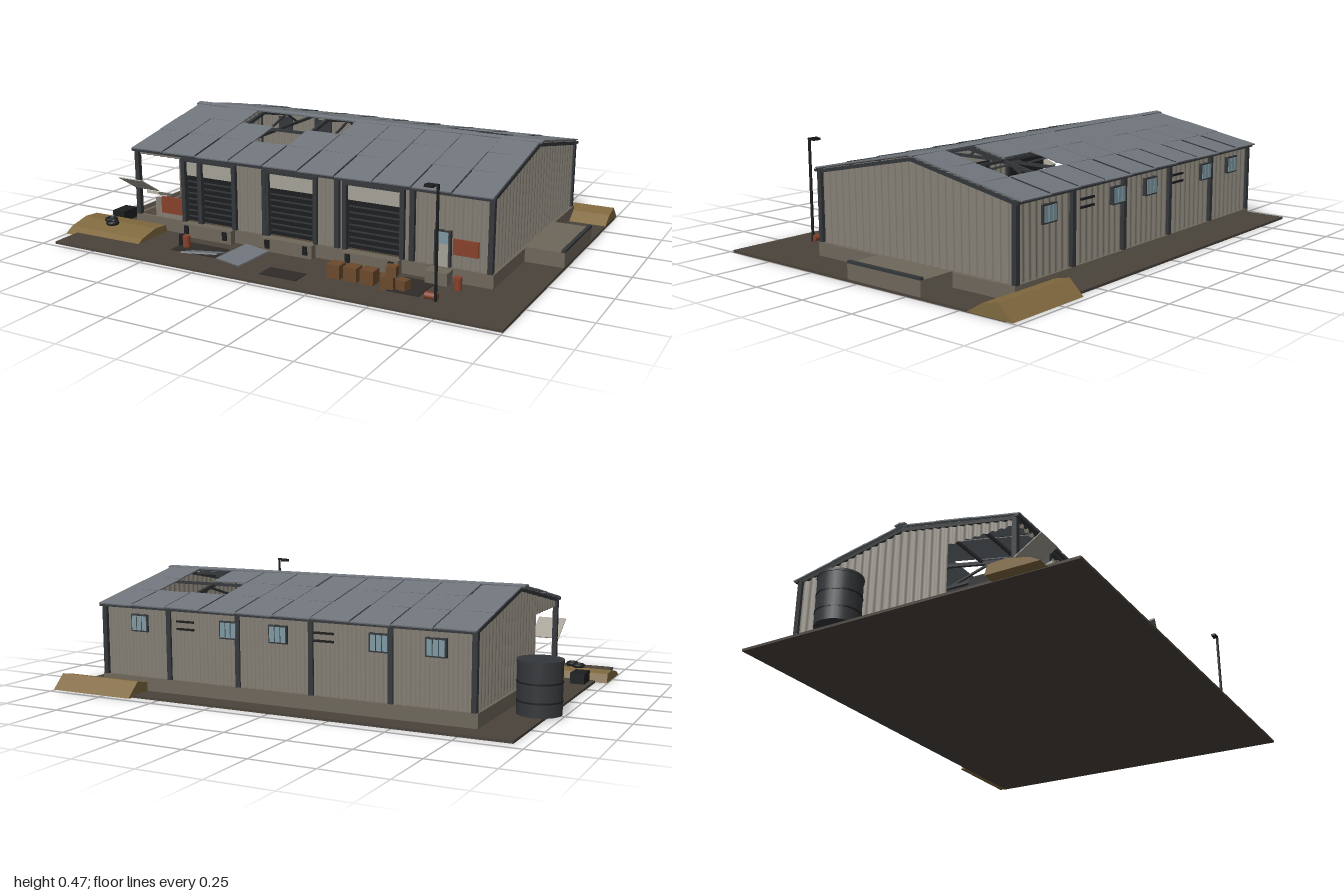
import * as THREE from 'three';

const mat = (color, side = THREE.FrontSide) => new THREE.MeshStandardMaterial({ color, side });
const M = {
  ground: mat(0x4a433b), concrete: mat(0x6e675b), wall: mat(0x858076, THREE.DoubleSide), roof: mat(0x6f757b),
  steel: mat(0x34373a), dark: mat(0x1c1d1f), pale: mat(0xa5a196), sand: mat(0x80693f), rust: mat(0x87402a),
  wood: mat(0x6b4a2c), glass: mat(0x7f99a3), patch: mat(0x2f2b28), floor: mat(0x51463a),
};
const RIDGE = -0.11, SLOPE = 0.2;
const roofY = z => 0.46 - SLOPE * Math.abs(z - RIDGE);

export function createModel() {
  const root = new THREE.Group();

  const add = (name, geo, m, parent = root) => {
    const mesh = new THREE.Mesh(geo, m);
    mesh.name = name;
    parent.add(mesh);
    return mesh;
  };
  // Box given by its lower and upper limits
  const box = (name, x0, x1, y0, y1, z0, z1, m, parent) => {
    const b = add(name, new THREE.BoxGeometry(x1 - x0, y1 - y0, z1 - z0), m, parent);
    b.position.set((x0 + x1) / 2, (y0 + y1) / 2, (z0 + z1) / 2);
    return b;
  };
  const cyl = (name, x, y0, z, r, h, m, seg = 16) => {
    const c = add(name, new THREE.CylinderGeometry(r, r, h, seg), m);
    c.position.set(x, y0 + h / 2, z);
    return c;
  };
  const beam = (name, a, b, t, m, parent) => {
    const A = new THREE.Vector3(...a), B = new THREE.Vector3(...b);
    const s = add(name, new THREE.BoxGeometry(t, t, A.distanceTo(B)), m, parent);
    s.position.copy(A).lerp(B, 0.5);
    s.lookAt(B);
    return s;
  };
  // Corrugated sheet from a to b; its upper edge follows top(u)
  const sheet = (name, a, b, y0, top, place) => {
    const n = Math.max(4, Math.round((b - a) / 0.036) * 6);
    const g = new THREE.PlaneGeometry(b - a, 1, n, 1), p = g.attributes.position;
    for (let i = 0; i < p.count; i++) {
      const u = p.getX(i) + (a + b) / 2, y = p.getY(i) > 0 ? top(u) : y0;
      const d = 0.005 * Math.cos(u * Math.PI * 2 / 0.036);
      p.setXYZ(i, ...place(u, y, d));
    }
    g.computeVertexNormals();
    return add(name, g, M.wall);
  };

  // Site, plinth, floor and docks
  box('ground', -0.95, 1, 0, 0.01, -0.7, 0.73, M.ground);
  box('plinth', -0.79, 0.84, 0.01, 0.065, -0.605, 0.395, M.concrete);
  box('floor', -0.77, 0.82, 0.065, 0.068, -0.59, 0.38, M.floor);
  box('sideDock', 0.84, 1, 0.01, 0.07, -0.32, 0.05, M.concrete);
  box('dockEdge', 0.985, 1, 0.07, 0.08, -0.32, 0.05, M.steel);

  // Corrugated walls
  const eave = () => 0.352, front = (u, y, d) => [u, y, 0.385 + d], back = (u, y, d) => [u, y, -0.595 - d];
  const doors = [[-0.535, -0.285], [-0.14, 0.095], [0.225, 0.47]];
  let from = -0.54;
  for (const [a, b] of doors) {
    if (a - from > 0.02) sheet('frontWall', from, a, 0.065, eave, front);
    sheet('doorHeader', a, b, 0.33, eave, front);
    from = b;
  }
  sheet('frontWall', from, 0.83, 0.065, eave, front);
  sheet('openBayHeader', -0.78, -0.54, 0.33, eave, front);
  sheet('brokenFrontWall', -0.69, -0.54, 0.065, () => 0.15, front);
  sheet('backWall', -0.78, 0.83, 0.065, eave, back);
  sheet('rightWall', -0.595, 0.385, 0.065, z => roofY(z) - 0.005, (u, y, d) => [0.825 + d, y, u]);
  const left = (u, y, d) => [-0.775 - d, y, u];
  sheet('leftWall', -0.595, 0.1, 0.065, z => roofY(z) - 0.005, left);
  sheet('leftGable', 0.1, 0.385, 0.32, z => roofY(z) - 0.005, left);

  // Loading doors with pale top panel, ribbed shutter, frame and dock
  for (const [a, b] of doors) {
    const door = new THREE.Group();
    door.name = 'loadingDoor';
    root.add(door);
    box('doorTop', a, b, 0.265, 0.33, 0.37, 0.382, M.pale, door);
    box('shutter', a, b, 0.065, 0.265, 0.362, 0.372, M.dark, door);
    for (let y = 0.085; y < 0.26; y += 0.025) box('shutterRib', a, b, y, y + 0.006, 0.372, 0.376, M.steel, door);
    for (const x of [a, b]) box('doorJamb', x - 0.009, x + 0.009, 0.065, 0.335, 0.37, 0.4, M.steel, door);
    box('doorLintel', a - 0.009, b + 0.009, 0.328, 0.34, 0.37, 0.4, M.steel, door);
    box('dock', a, b, 0.01, 0.066, 0.39, 0.425, M.concrete, door);
    for (const x of [a + 0.03, b - 0.03]) box('bumper', x - 0.01, x + 0.01, 0.025, 0.06, 0.425, 0.432, M.dark, door);
  }

  // Steel frames: columns, rafters, tie and web members
  for (const x of [-0.775, -0.455, -0.13, 0.19, 0.51, 0.825]) {
    const frame = new THREE.Group();
    frame.name = 'steelFrame';
    root.add(frame);
    for (const z of [-0.597, 0.387]) {
      box('column', x - 0.01, x + 0.01, 0.065, 0.355, z - 0.01, z + 0.01, M.steel, frame);
      beam('rafter', [x, roofY(z) - 0.014, z], [x, 0.445, RIDGE], 0.014, M.steel, frame);
    }
    if (x < -0.7 || x > 0.8) continue;
    beam('tie', [x, 0.345, -0.59], [x, 0.345, 0.38], 0.012, M.steel, frame);
    for (const s of [-1, 1]) {
      beam('web', [x, 0.345, RIDGE], [x, roofY(RIDGE + s * 0.2) - 0.015, RIDGE + s * 0.2], 0.008, M.steel, frame);
      beam('web', [x, 0.345, RIDGE + s * 0.3], [x, roofY(RIDGE + s * 0.2) - 0.015, RIDGE + s * 0.2], 0.008, M.steel, frame);
    }
  }
  for (const z of [-0.6, -0.44, -0.28, 0.05, 0.21, 0.38])
    box('purlin', -0.78, 0.83, roofY(z) - 0.016, roofY(z) - 0.005, z - 0.006, z + 0.006, M.steel);

  // Roof sheets in three rows on each slope, some missing
  const missing = ['f02', 'f03', 'f04', 'f13', 'b17', 'b18', 'b08'];
  const rows = { f: [RIDGE, 0.05, 0.21, 0.41], b: [RIDGE, -0.28, -0.44, -0.63] };
  const step = 0.1625, angle = Math.atan(SLOPE);
  for (const side of ['f', 'b']) for (let r = 0; r < 3; r++) for (let c = 0; c < 10; c++) {
    if (missing.includes(side + r + c)) continue;
    const z0 = rows[side][r], z1 = rows[side][r + 1], z = (z0 + z1) / 2;
    const len = Math.abs(z1 - z0) / Math.cos(angle);
    const p = add('roofSheet', new THREE.BoxGeometry(step - 0.004, 0.005, len), M.roof);
    p.position.set(-0.79 + step * (c + 0.5), roofY(z) + ((c * 7 + r * 3) % 4) * 0.0008, z);
    p.rotation.x = side === 'f' ? angle : -angle;
    p.rotation.z = (((c * 5 + r * 2) % 5) - 2) * 0.006;
  }
  for (let c = 1; c < 10; c++) for (const [z0, z1] of [[0.22, 0.4], [-0.45, -0.62]])
    beam('roofSeam', [-0.79 + c * step, roofY(z0) + 0.003, z0], [-0.79 + c * step, roofY(z1) + 0.003, z1], 0.005, M.steel);
  for (const s of [-1, 1]) {
    const cap = add('ridgeCap', new THREE.BoxGeometry(1.645, 0.006, 0.026), M.roof);
    cap.position.set(0.022, 0.461, RIDGE + s * 0.011);
    cap.rotation.x = s * angle;
  }
  for (const z of [-0.61, 0.4]) box('gutter', -0.79, 0.84, 0.345, 0.355, z - 0.008, z + 0.008, M.steel);

  // High windows and vents at the back
  for (const x of [0.65, 0.23, 0.01, -0.41, -0.63]) {
    box('windowFrame', x - 0.04, x + 0.04, 0.25, 0.32, -0.607, -0.59, M.steel);
    for (const i of [-1, 0, 1]) box('windowPane', x + i * 0.024 - 0.01, x + i * 0.024 + 0.01, 0.256, 0.314, -0.61, -0.6, M.glass);
  }
  for (const x of [0.43, -0.185]) for (const y of [0.27, 0.3]) box('vent', x - 0.04, x + 0.04, y, y + 0.008, -0.608, -0.6, M.dark);

  // Staff door, step, plain signs
  box('staffDoorFrame', 0.602, 0.668, 0.065, 0.206, 0.38, 0.396, M.steel);
  box('staffDoor', 0.61, 0.66, 0.066, 0.155, 0.39, 0.4, M.pale);
  box('staffDoorWindow', 0.61, 0.66, 0.155, 0.2, 0.39, 0.4, M.glass);
  box('doorStep', 0.59, 0.68, 0.01, 0.06, 0.395, 0.45, M.concrete);
  box('sign', 0.68, 0.78, 0.12, 0.18, 0.39, 0.4, M.rust);
  box('sign', -0.65, -0.54, 0.09, 0.16, 0.39, 0.4, M.rust);

  // Torn sheets hanging out of the open bay
  const torn = (x, w, y0, z1, y1, t, m) => {
    const s = add('tornSheet', new THREE.BoxGeometry(w, t, Math.hypot(z1 - 0.39, y1 - y0)), m);
    s.position.set(x, (y0 + y1) / 2, (0.39 + z1) / 2);
    s.rotation.x = -Math.atan2(y1 - y0, z1 - 0.39);
  };
  torn(-0.73, 0.12, 0.18, 0.5, 0.25, 0.004, M.pale);
  torn(-0.635, 0.06, 0.17, 0.475, 0.2, 0.012, M.pale);

  // Water tank
  cyl('tank', -0.912, 0.01, -0.28, 0.085, 0.2, M.steel, 28);
  cyl('tankLid', -0.912, 0.205, -0.28, 0.088, 0.01, M.steel, 28);
  for (const y of [0.06, 0.13]) cyl('tankBand', -0.912, y, -0.28, 0.087, 0.006, M.dark, 28);

  // Sand mounds, extruded along x from a z-y profile
  const mound = (x0, x1, pts) => {
    const g = new THREE.ExtrudeGeometry(new THREE.Shape(pts.map(([z, y]) => new THREE.Vector2(-z, y))), { depth: x1 - x0, bevelEnabled: false });
    g.rotateY(Math.PI / 2);
    add('mound', g, M.sand).position.x = x0;
  };
  mound(0.62, 1, [[-0.73, 0.002], [-0.67, 0.06], [-0.6, 0.045], [-0.53, 0.002]]);
  mound(-1, -0.625, [[0.61, 0.002], [0.57, 0.025], [0.48, 0.045], [0.41, 0.04], [0.4, 0.002]]);

  // Tyres and side box
  for (const [x, z] of [[-0.855, 0.485], [-0.82, 0.52]]) {
    const t = add('tyre', new THREE.TorusGeometry(0.019, 0.009, 8, 18), M.dark);
    t.position.set(x, 0.052, z);
    t.rotation.x = Math.PI / 2;
  }
  box('sideBox', -0.93, -0.87, 0.01, 0.055, 0.295, 0.385, M.dark);

  // Yard lamp
  cyl('lampPost', 0.7, 0.01, 0.6, 0.006, 0.43, M.dark, 8);
  box('lampArm', 0.66, 0.705, 0.434, 0.442, 0.596, 0.604, M.dark);
  box('lampHead', 0.65, 0.685, 0.428, 0.438, 0.59, 0.61, M.dark);

  // Crates
  const crate = (x, y, z, s, turn = 0) => {
    const c = add('crate', new THREE.BoxGeometry(s, s, s), M.wood);
    c.position.set(x, y + s / 2, z);
    c.rotation.y = turn;
  };
  for (const x of [0.27, 0.34, 0.41]) crate(x, 0.01, 0.545, 0.055);
  crate(0.49, 0.01, 0.56, 0.05, 0.3);
  crate(0.51, 0.06, 0.56, 0.04, 0.15);
  crate(0.55, 0.01, 0.55, 0.04, -0.2);

  // Barrels, one lying
  cyl('barrel', 0.725, 0.01, 0.455, 0.016, 0.048, M.rust);
  cyl('barrel', -0.43, 0.01, 0.53, 0.016, 0.048, M.rust);
  cyl('barrel', -0.46, 0.01, 0.52, 0.013, 0.045, M.dark);
  cyl('lyingBarrel', 0.68, 0, 0.59, 0.013, 0.048, M.rust).rotation.z = Math.PI / 2;

  // Fallen roof sheets and yard patches
  const fallen = (x, y, z, w, d, turn, tilt) => {
    const f = add('fallenSheet', new THREE.BoxGeometry(w, 0.006, d), M.roof);
    f.position.set(x, y, z);
    f.rotation.set(tilt, turn, 0, 'YXZ');
  };
  fallen(-0.28, 0.038, 0.62, 0.145, 0.16, 0.32, -0.3);
  fallen(-0.15, 0.026, 0.545, 0.13, 0.16, -0.25, 0.12);
  for (const [x, z, w, d] of [[-0.36, 0.535, 0.21, 0.11], [0.08, 0.62, 0.16, 0.085], [0.565, 0.51, 0.13, 0.16]])
    box('yardPatch', x - w / 2, x + w / 2, 0.009, 0.0125, z - d / 2, z + d / 2, M.patch);

  return root;
}
